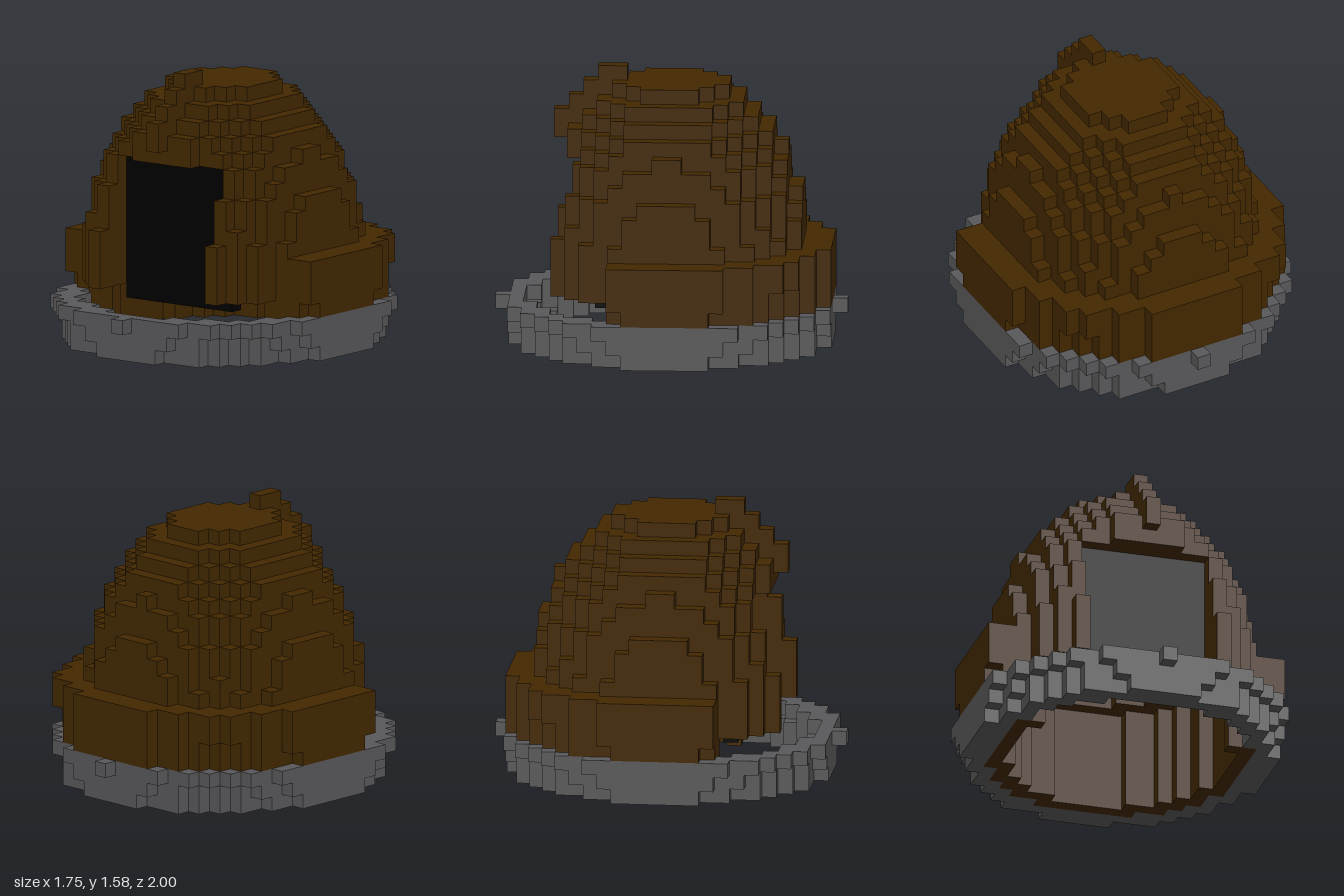
import * as THREE from 'three';

const V = 1 / 12; // edge of one block
const key = (x, y, z) => `${x},${y},${z}`;

// Six cube sides: normal and the two in-plane axes (u x v = n)
const SIDES = [
  [[1, 0, 0], [0, 1, 0], [0, 0, 1]], [[-1, 0, 0], [0, 0, 1], [0, 1, 0]],
  [[0, 1, 0], [0, 0, 1], [1, 0, 0]], [[0, -1, 0], [1, 0, 0], [0, 0, 1]],
  [[0, 0, 1], [1, 0, 0], [0, 1, 0]], [[0, 0, -1], [0, 1, 0], [1, 0, 0]],
];

// Turns a list of blocks into a mesh of only their exposed faces
function blockMesh(name, blocks, solid, material) {
  const pos = [], nor = [], idx = [];
  for (const [x, y, z] of blocks) {
    const c = [x, y + 0.5, z + 0.5];
    for (const [n, u, v] of SIDES) {
      if (solid.has(key(x + n[0], y + n[1], z + n[2]))) continue;
      const b = pos.length / 3;
      for (const [s, t] of [[-1, -1], [1, -1], [1, 1], [-1, 1]]) {
        for (let i = 0; i < 3; i++) pos.push((c[i] + (n[i] + s * u[i] + t * v[i]) / 2) * V);
        nor.push(...n);
      }
      idx.push(b, b + 1, b + 2, b, b + 2, b + 3);
    }
  }
  const g = new THREE.BufferGeometry();
  g.setAttribute('position', new THREE.Float32BufferAttribute(pos, 3));
  g.setAttribute('normal', new THREE.Float32BufferAttribute(nor, 3));
  g.setIndex(idx);
  const mesh = new THREE.Mesh(g, material);
  mesh.name = name;
  return mesh;
}

export function createModel() {
  const stone = new THREE.MeshStandardMaterial({ color: 0x59595b });
  stone.name = 'stone grey';
  const thatch = new THREE.MeshStandardMaterial({ color: 0x432800 });
  thatch.name = 'thatch brown';
  const dark = new THREE.MeshStandardMaterial({ color: 0x000000 });
  dark.name = 'doorway black';

  const solid = new Set();
  const parts = { foundation: [], wall: [], dome: [], ridge: [], doorway: [] };
  const add = (part, x, y, z) => {
    if (solid.has(key(x, y, z))) return;
    solid.add(key(x, y, z));
    parts[part].push([x, y, z]);
  };

  // Doorway panel
  for (let x = -4; x <= 4; x++) for (let y = 3; y < 13; y++) add('doorway', x, y, 4);

  // Outer radius of each layer: ring 0-2, wall 3-6, dome 7-17
  const radius = [10.88, 11.2, 11.52, 11, 11.15, 11.28, 11.28,
    9.2, 9.08, 8.85, 8.65, 8.25, 7.9, 7.5, 6.9, 6.1, 5, 3.9];
  const ringInner = [9.4, 9.6, 9.85];
  const wallInner = 7.9;

  radius.forEach((layerR, y) => {
    for (let x = -10; x <= 10; x++) for (let z = -12; z < 12; z++) {
      const zc = z + 0.5;
      const d = Math.hypot(x * 1.05, zc);
      if (y < 3) {
        // Stone ring, lined by the foot of the wall except at the front
        if (d <= layerR && d >= ringInner[y]) add('foundation', x, y, z);
        else if (d < ringInner[y] && d >= wallInner && zc < 4) add('wall', x, y, z);
        continue;
      }
      let outer = layerR, inner = layerR - 2.4;
      if (y < 7) {
        // Wall, stopping short at the front where narrower door jambs take over
        inner = wallInner;
        if (zc > 4) {
          outer = y === 3 ? 0 : 9.25;
          inner = 6.2;
        }
      } else if (y === 13) {
        // Lintel above the door
        inner = 4.2;
        if (zc > 0 && Math.abs(x) <= 4) outer = 7;
      } else if (y === 17) {
        inner = 0;
      }
      const inDoor = y < 13 && Math.abs(x) <= 4 && zc > 4;
      if (d <= outer && d >= inner && !inDoor) add(y < 7 ? 'wall' : 'dome', x, y, z);
    }
  });

  // Ridge of blocks climbing over the front of the roof: layer, first and last depth
  for (const [y, z0, z1] of [[14, 6, 7], [15, 5, 7], [16, 4, 6], [17, 3, 5], [18, 3, 4]])
    for (let z = z0; z <= z1; z++) add('ridge', 0, y, z);

  const group = new THREE.Group();
  group.name = 'hut';
  const colours = { foundation: stone, wall: thatch, dome: thatch, ridge: thatch, doorway: dark };
  for (const part in parts) group.add(blockMesh(part, parts[part], solid, colours[part]));
  return group;
}
